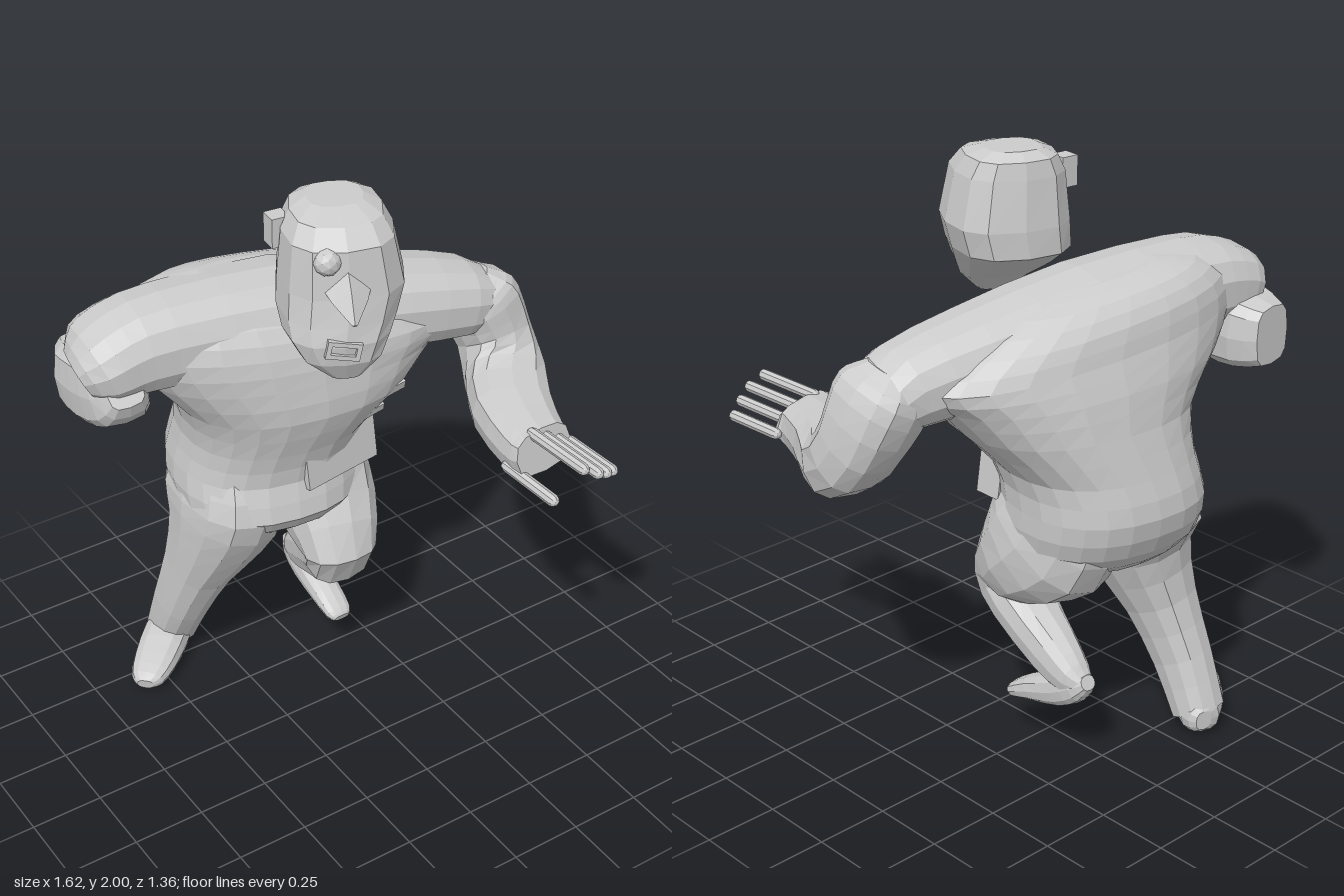
import * as THREE from 'three';

const mat = new THREE.MeshStandardMaterial({ color: 0xcccccc, flatShading: true, side: THREE.DoubleSide });
const V = (x, y, z) => new THREE.Vector3(x, y, z);
const X = V(1, 0, 0), Y = V(0, 1, 0);

function add(parent, geometry, name, pos = [0, 0, 0], rot = [0, 0, 0]) {
  const m = new THREE.Mesh(geometry, mat);
  m.name = name;
  m.position.set(...pos);
  m.rotation.set(...rot);
  parent.add(m);
}

// Adds in-between sections on a spline; a section is [x, y, z, halfWidth, halfDepth].
function smooth(sections, steps = 2) {
  const path = new THREE.CatmullRomCurve3(sections.map(s => V(s[0], s[1], s[2])), false, 'catmullrom');
  const size = new THREE.CatmullRomCurve3(sections.map(s => V(s[3], s[4], 0)), false, 'catmullrom');
  const n = (sections.length - 1) * steps, out = [];
  for (let i = 0; i <= n; i++) {
    const p = path.getPoint(i / n), r = size.getPoint(i / n);
    out.push([p.x, p.y, p.z, r.x, r.y]);
  }
  return out;
}

// Skins rounded cross-sections; ref is the direction of each half-width.
function loft(sections, ref, { sides = 12, power = 0.85, up = null } = {}) {
  const pos = [], idx = [], n = sections.length;
  const c = sections.map(s => V(s[0], s[1], s[2]));
  const soft = v => Math.sign(v) * Math.pow(Math.abs(v), power);
  sections.forEach((s, i) => {
    const t = up || c[Math.min(i + 1, n - 1)].clone().sub(c[Math.max(i - 1, 0)]).normalize();
    const u = ref.clone().addScaledVector(t, -ref.dot(t)).normalize();
    const v = t.clone().cross(u);
    for (let j = 0; j < sides; j++) {
      const a = (j / sides) * Math.PI * 2;
      const p = c[i].clone().addScaledVector(u, soft(Math.cos(a)) * s[3]).addScaledVector(v, soft(Math.sin(a)) * s[4]);
      pos.push(p.x, p.y, p.z);
    }
  });
  for (let i = 0; i < n - 1; i++) {
    for (let j = 0; j < sides; j++) {
      const a = i * sides + j, b = i * sides + (j + 1) % sides;
      idx.push(a, b, b + sides, a, b + sides, a + sides);
    }
  }
  // end caps
  const first = pos.length / 3, last = (n - 1) * sides;
  pos.push(...c[0].toArray(), ...c[n - 1].toArray());
  for (let j = 0; j < sides; j++) {
    const k = (j + 1) % sides;
    idx.push(first, k, j, first + 1, last + j, last + k);
  }
  const g = new THREE.BufferGeometry();
  g.setAttribute('position', new THREE.Float32BufferAttribute(pos, 3));
  g.setIndex(idx);
  g.computeVertexNormals();
  return g;
}

function buildTorso(model) {
  const g = loft(smooth([
    [-0.13, 0.65, -0.35, 0.09, 0.10],
    [-0.12, 0.70, -0.34, 0.22, 0.21],
    [-0.11, 0.79, -0.345, 0.32, 0.295],
    [-0.10, 0.92, -0.38, 0.325, 0.30],
    [-0.08, 1.05, -0.35, 0.325, 0.30],
    [-0.03, 1.20, -0.30, 0.41, 0.305],
    [-0.04, 1.33, -0.29, 0.52, 0.29],
    [-0.04, 1.44, -0.28, 0.60, 0.265],
    [-0.08, 1.53, -0.30, 0.52, 0.23],
    [-0.12, 1.60, -0.33, 0.36, 0.15],
    [-0.15, 1.63, -0.34, 0.18, 0.06],
  ]), V(0.99, 0, 0.13), { sides: 24, up: Y });
  // drop the left shoulder below the right one
  const p = g.attributes.position;
  for (let i = 0; i < p.count; i++) {
    const k = THREE.MathUtils.smoothstep(p.getY(i), 1.2, 1.55);
    p.setY(i, p.getY(i) - 0.1 * k * (p.getX(i) + 0.1));
  }
  g.computeVertexNormals();
  add(model, g, 'torso');
  // broad shoulder line from right to left
  add(model, loft(smooth([
    [-0.78, 1.44, -0.35, 0.07, 0.11], [-0.73, 1.465, -0.34, 0.12, 0.165], [-0.64, 1.49, -0.335, 0.145, 0.175],
    [-0.50, 1.50, -0.32, 0.16, 0.18], [-0.10, 1.485, -0.27, 0.165, 0.20], [0.30, 1.43, -0.20, 0.15, 0.185],
    [0.55, 1.385, -0.15, 0.13, 0.155], [0.66, 1.35, -0.15, 0.09, 0.13],
  ]), Y, { sides: 14 }), 'shoulders');
  // belly pouch and the torn flaps above it
  add(model, new THREE.BoxGeometry(0.3, 0.18, 0.09), 'pouch', [0.03, 0.98, -0.125], [-0.1, 0.12, 0.05]);
  add(model, new THREE.BoxGeometry(0.19, 0.03, 0.06), 'lowerFlap', [0.08, 1.13, -0.06], [0.3, 0.1, 0.1]);
  add(model, new THREE.BoxGeometry(0.2, 0.035, 0.06), 'upperFlap', [0.15, 1.2, -0.045], [0.3, 0.1, 0.08]);
}

function buildHead(model) {
  const head = new THREE.Group();
  head.name = 'head';
  head.position.set(-0.05, 0, 0.02);
  head.rotation.y = -0.4;
  model.add(head);
  // rows of height, back, front, half width, sideways shift
  const rows = [
    [1.47, 0.11, 0.18, 0.05, 0], [1.54, 0.02, 0.215, 0.13, -0.01], [1.61, -0.10, 0.225, 0.17, -0.015],
    [1.67, -0.20, 0.215, 0.19, -0.005], [1.76, -0.2, 0.2, 0.2, 0.01], [1.92, -0.18, 0.185, 0.175, 0],
    [1.975, -0.17, 0.13, 0.145, 0], [2.0, -0.13, 0.04, 0.09, 0],
  ];
  add(head, loft(rows.map(([y, b, f, w, x]) => [x, y, (b + f) / 2, w, (f - b) / 2]), X,
    { sides: 12, power: 0.75, up: Y }), 'skull');
  // wide nose wedge with a sharp tip
  add(head, loft([
    [0, 1.81, 0.14, 0.09, 0.07], [0, 1.77, 0.22, 0.055, 0.045], [0, 1.73, 0.295, 0.008, 0.006],
  ], X, { sides: 4, power: 1 }), 'nose');
  add(head, new THREE.IcosahedronGeometry(0.045, 1), 'rightEye', [-0.06, 1.885, 0.165]);
  // mouth frame with an open slot
  const rect = (w, h) => [[-w, -h], [w, -h], [w, h], [-w, h]].map(p => new THREE.Vector2(...p));
  const lip = new THREE.Shape(rect(0.055, 0.03));
  lip.holes.push(new THREE.Path(rect(0.04, 0.015)));
  add(head, new THREE.ExtrudeGeometry(lip, { depth: 0.03, bevelEnabled: false }), 'mouth', [-0.02, 1.6, 0.2], [0, 0, -0.2]);
  add(head, new THREE.BoxGeometry(0.06, 0.1, 0.06), 'ear', [-0.18, 1.9, -0.04], [0, 0.3, 0]);
}

function buildArms(model) {
  add(model, loft(smooth([
    [0.585, 1.45, -0.16, 0.07, 0.09], [0.605, 1.40, -0.15, 0.115, 0.14], [0.635, 1.34, -0.135, 0.13, 0.15],
    [0.67, 1.22, -0.09, 0.12, 0.13], [0.645, 1.12, 0.01, 0.14, 0.115], [0.55, 1.1, 0.18, 0.14, 0.1],
    [0.495, 1.09, 0.36, 0.12, 0.09], [0.495, 1.1, 0.42, 0.125, 0.075],
  ]), X, { power: 0.75 }), 'leftArm');
  // fingers, index to little
  [0.67, 0.68, 0.66, 0.63].forEach((tip, i) => {
    const len = tip - 0.38;
    add(model, new THREE.CapsuleGeometry(0.02, len - 0.04, 3, 8), 'finger',
      [0.465 + 0.053 * i, 1.165 - 0.03 * i, 0.38 + len / 2], [Math.PI / 2, 0, -0.04]);
  });
  add(model, new THREE.CapsuleGeometry(0.021, 0.22, 3, 8), 'thumb', [0.395, 1.04, 0.48], [Math.PI / 2 + 0.06, 0, -0.08]);
  // right forearm folds back and ends in a blunt stump
  add(model, loft(smooth([
    [-0.70, 1.43, -0.20, 0.06, 0.06], [-0.69, 1.39, -0.26, 0.10, 0.11], [-0.68, 1.36, -0.38, 0.12, 0.135],
    [-0.67, 1.35, -0.5, 0.125, 0.12], [-0.675, 1.35, -0.58, 0.085, 0.10],
  ]), X, { sides: 12, power: 0.6 }), 'rightForearm');
}

function buildLegs(model) {
  // standing right leg
  add(model, loft(smooth([
    [-0.26, 0.92, -0.36, 0.14, 0.22], [-0.27, 0.78, -0.35, 0.17, 0.26], [-0.295, 0.64, -0.365, 0.155, 0.19],
    [-0.34, 0.45, -0.43, 0.115, 0.13], [-0.37, 0.25, -0.51, 0.095, 0.105], [-0.375, 0.07, -0.59, 0.09, 0.085],
  ]), X), 'rightLeg');
  add(model, loft(smooth([
    [-0.325, 0.07, -0.66, 0.03, 0.035], [-0.34, 0.07, -0.63, 0.065, 0.06], [-0.42, 0.07, -0.55, 0.085, 0.07],
    [-0.52, 0.055, -0.46, 0.08, 0.052], [-0.585, 0.04, -0.405, 0.06, 0.036], [-0.605, 0.035, -0.385, 0.03, 0.02],
  ]), V(0.72, 0, 0.69)), 'rightFoot');
  // raised, bent left leg
  add(model, loft(smooth([
    [0.05, 0.92, -0.38, 0.14, 0.22], [0.06, 0.78, -0.31, 0.17, 0.24], [0.06, 0.67, -0.20, 0.165, 0.175],
    [0.035, 0.56, -0.10, 0.13, 0.115], [0.06, 0.48, -0.18, 0.11, 0.095], [0.09, 0.375, -0.36, 0.08, 0.09],
    [0.10, 0.325, -0.46, 0.06, 0.065], [0.10, 0.315, -0.51, 0.035, 0.035],
  ]), X), 'leftLeg');
  add(model, loft(smooth([
    [0.1, 0.33, -0.525, 0.03, 0.025], [0.1, 0.305, -0.48, 0.05, 0.055], [0.1, 0.26, -0.4, 0.056, 0.06],
    [0.1, 0.215, -0.28, 0.056, 0.045], [0.1, 0.178, -0.2, 0.05, 0.028], [0.1, 0.168, -0.175, 0.03, 0.014],
  ]), X), 'leftFoot');
}

export function createModel() {
  const model = new THREE.Group();
  model.name = 'figure';
  buildTorso(model);
  buildHead(model);
  buildArms(model);
  buildLegs(model);
  return model;
}
